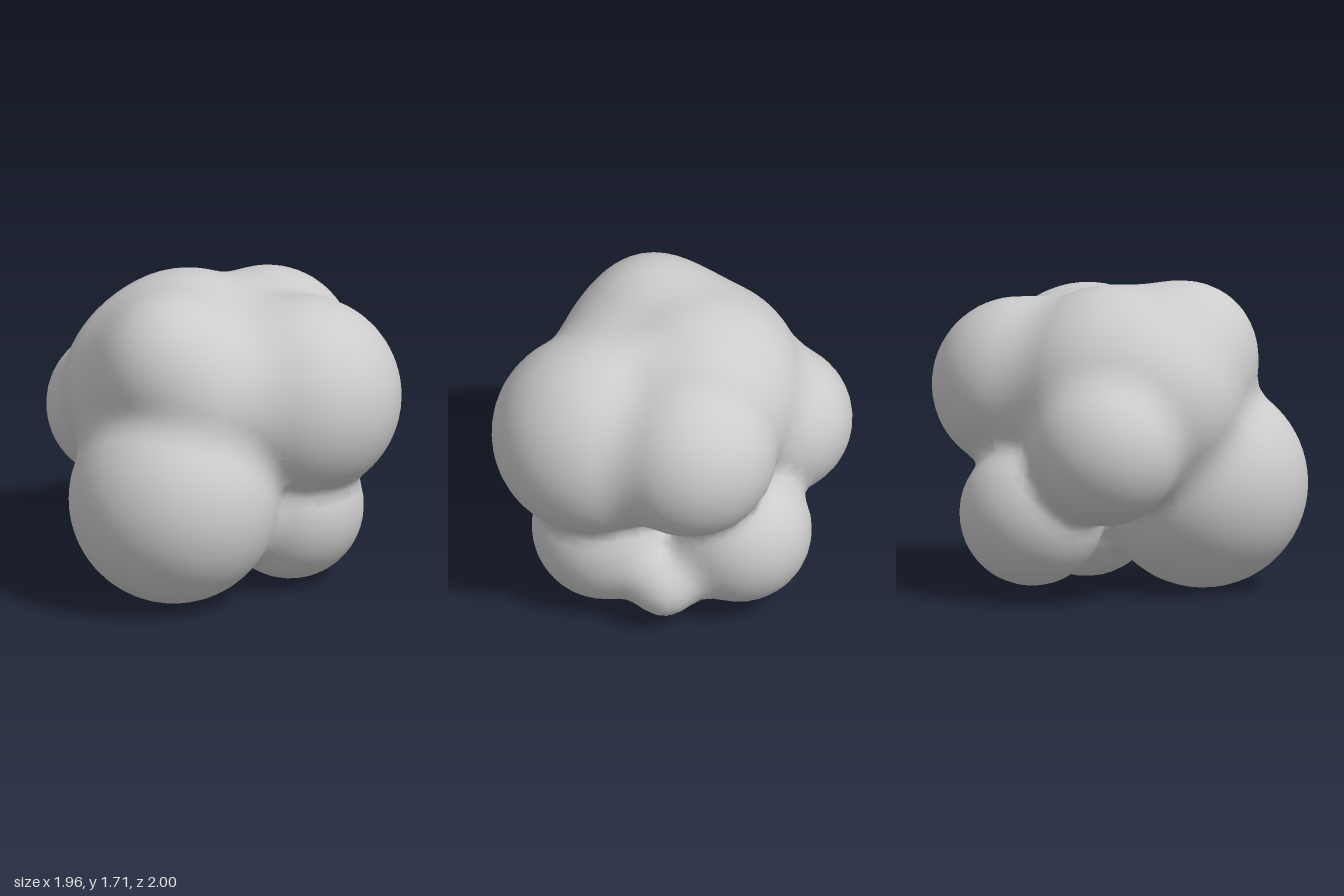
import * as THREE from 'three';

// Balls that melt together into one lump: centre x, y, z, radius and softness of the joint
const BALLS = [
  [-0.13, 1.1, 0.03, 0.605, 0.1],  // core
  [-0.14, 1.07, 0.28, 0.49, 0.15], // chest
  [0.24, 1.11, 0.21, 0.45, 0.15],  // shoulder
  [0.13, 1.31, 0.36, 0.4, 0.15],   // crown bump
  [0.42, 1.07, -0.33, 0.557, 0.2], // upper side ball
  [0.25, 0.578, 0.42, 0.58, 0.12], // big front ball
  [-0.56, 0.855, 0.16, 0.42, 0.1], // opposite side ball
  [-0.13, 1.13, -0.52, 0.482, 0.14], // upper back ball
  [-0.39, 0.455, -0.34, 0.402, 0.1], // lower back ball
  [0.35, 0.415, -0.31, 0.407, 0.08], // lower side ball
  [0.0, 0.25, -0.63, 0.16, 0.2],   // small nub
];
const CELL = 0.06;

const smoothMin = (a, b, k) => {
  const h = Math.max(k - Math.abs(a - b), 0) / k;
  return Math.min(a, b) - h * h * k / 4;
};

// Distance to the melted skin, negative inside
function field(x, y, z) {
  let d = 10;
  for (const [cx, cy, cz, r, k] of BALLS) d = smoothMin(d, Math.hypot(x - cx, y - cy, z - cz) - r, k);
  return d;
}

function gradient(p) {
  const e = 0.004;
  return new THREE.Vector3(
    field(p.x + e, p.y, p.z) - field(p.x - e, p.y, p.z),
    field(p.x, p.y + e, p.z) - field(p.x, p.y - e, p.z),
    field(p.x, p.y, p.z + e) - field(p.x, p.y, p.z - e),
  ).normalize();
}

// Wraps the field in one closed skin of quads
function createSkin() {
  const size = [37, 33, 37];
  const origin = [-1.08, -0.11, -1.08];
  const id = (c) => (c[0] * size[1] + c[1]) * size[2] + c[2];
  const at = (c, half = 0) => c.map((n, i) => origin[i] + (n + half) * CELL);
  const samples = new Float32Array(size[0] * size[1] * size[2]);
  const eachCell = (visit) => {
    for (let i = 0; i < size[0]; i++)
      for (let j = 0; j < size[1]; j++)
        for (let k = 0; k < size[2]; k++) visit([i, j, k]);
  };
  eachCell((c) => { samples[id(c)] = field(...at(c)); });

  const positions = [], normals = [], indices = [];
  const cellVertex = new Map();

  // One vertex per crossed cell, slid from its middle onto the skin
  const vertex = (c) => {
    const key = id(c);
    if (!cellVertex.has(key)) {
      const p = new THREE.Vector3(...at(c, 0.5));
      for (let n = 0; n < 5; n++) p.addScaledVector(gradient(p), -field(p.x, p.y, p.z));
      cellVertex.set(key, positions.length / 3);
      positions.push(...p.toArray());
      normals.push(...gradient(p).toArray());
    }
    return cellVertex.get(key);
  };

  // One quad around every grid edge that passes through the skin
  eachCell((c) => {
    for (let a = 0; a < 3; a++) {
      const b = (a + 1) % 3, d = (a + 2) % 3;
      if (c[a] + 1 >= size[a] || c[b] < 1 || c[d] < 1) continue;
      const next = [...c];
      next[a]++;
      const inside = samples[id(c)] < 0;
      if (inside === samples[id(next)] < 0) continue;
      const quad = [[0, 0], [1, 0], [1, 1], [0, 1]].map(([u, v]) => {
        const cell = [...c];
        cell[b] -= u;
        cell[d] -= v;
        return vertex(cell);
      });
      if (!inside) quad.reverse();
      indices.push(quad[0], quad[1], quad[2], quad[0], quad[2], quad[3]);
    }
  });

  const geometry = new THREE.BufferGeometry();
  geometry.setAttribute('position', new THREE.Float32BufferAttribute(positions, 3));
  geometry.setAttribute('normal', new THREE.Float32BufferAttribute(normals, 3));
  geometry.setIndex(indices);
  return geometry;
}

export function createModel() {
  const group = new THREE.Group();
  group.name = 'meltedBalls';
  const grey = new THREE.MeshStandardMaterial({ color: 0xcccccc });
  grey.name = 'lightGrey';
  const skin = new THREE.Mesh(createSkin(), grey);
  skin.name = 'blobSkin';
  group.add(skin);
  return group;
}
